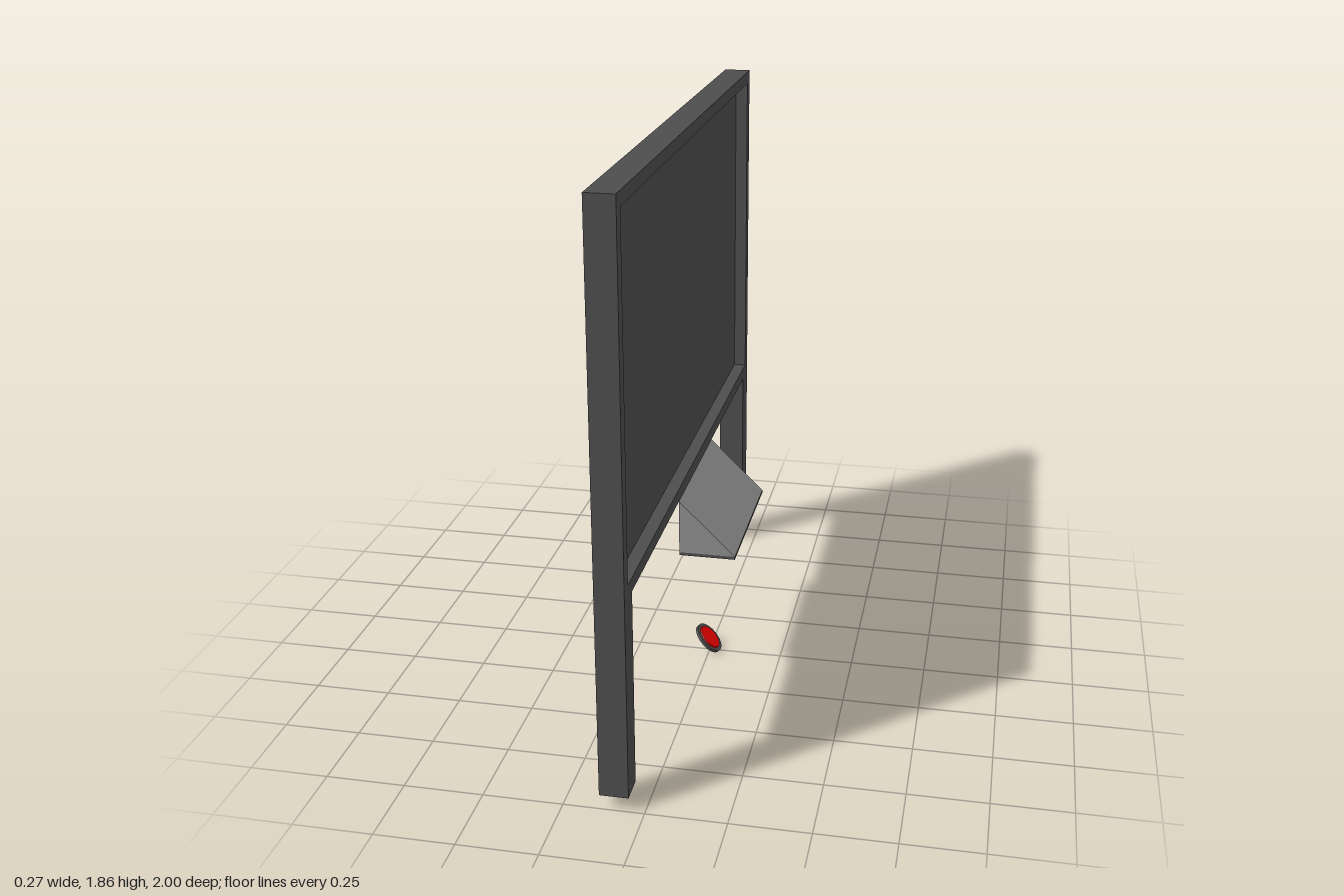
import * as THREE from 'three';

const paint = (name, color) => {
  const m = new THREE.MeshStandardMaterial({ color });
  m.name = name;
  return m;
};

const polygon = (points) => new THREE.Shape(points.map(([x, y]) => new THREE.Vector2(x, y)));

export function createModel() {
  const dark = paint('dark grey', 0x4d4d4d);
  const light = paint('light grey', 0x8c8c8c);
  const red = paint('red', 0xee0000);
  const model = new THREE.Group();
  model.name = 'boardStand';

  const add = (name, geometry, material, parent = model) => {
    const mesh = new THREE.Mesh(geometry, material);
    mesh.name = name;
    parent.add(mesh);
    return mesh;
  };

  // Board outline with its two legs, drawn facing +z and turned to face +x
  const outline = () => polygon([
    [-1, 0.048], [-0.91, 0.048], [-0.91, 0.686], [0.91, 0.686],
    [0.91, 0.048], [1, 0.048], [1, 1.866], [-1, 1.866],
  ]);
  const slab = (name, shape, x, depth) => {
    const geometry = new THREE.ExtrudeGeometry(shape, { depth, bevelEnabled: false });
    geometry.rotateY(Math.PI / 2);
    geometry.translate(x, 0, 0);
    return add(name, geometry, dark);
  };
  slab('boardAndLegs', outline(), -0.138, 0.048);

  // Raised rim around the recessed panel, continuing down the legs
  const rim = outline();
  rim.holes.push(new THREE.Path(polygon([
    [-0.956, 0.728], [-0.956, 1.824], [0.956, 1.824], [0.956, 0.728],
  ]).getPoints()));
  slab('rim', rim, -0.09, 0.042);

  // Sloping console on a thin dark base
  const wedge = new THREE.ExtrudeGeometry(
    polygon([[-0.048, 0.505], [0.136, 0.505], [-0.048, 0.686]]),
    { depth: 0.546, bevelEnabled: false },
  );
  wedge.translate(0, 0, -0.273);
  add('console', wedge, light);
  add('consoleBase', new THREE.BoxGeometry(0.184, 0.01, 0.546), dark)
    .position.set(0.044, 0.5, 0);

  // Tilted round button below the console
  const button = new THREE.Group();
  button.name = 'button';
  button.position.set(-0.004, 0.045, 0);
  button.rotation.z = -Math.PI / 4;
  model.add(button);
  add('buttonRim', new THREE.CylinderGeometry(0.057, 0.057, 0.01, 32), dark, button);
  add('buttonFace', new THREE.CylinderGeometry(0.043, 0.045, 0.004, 32), red, button)
    .position.y = 0.007;

  return model;
}
